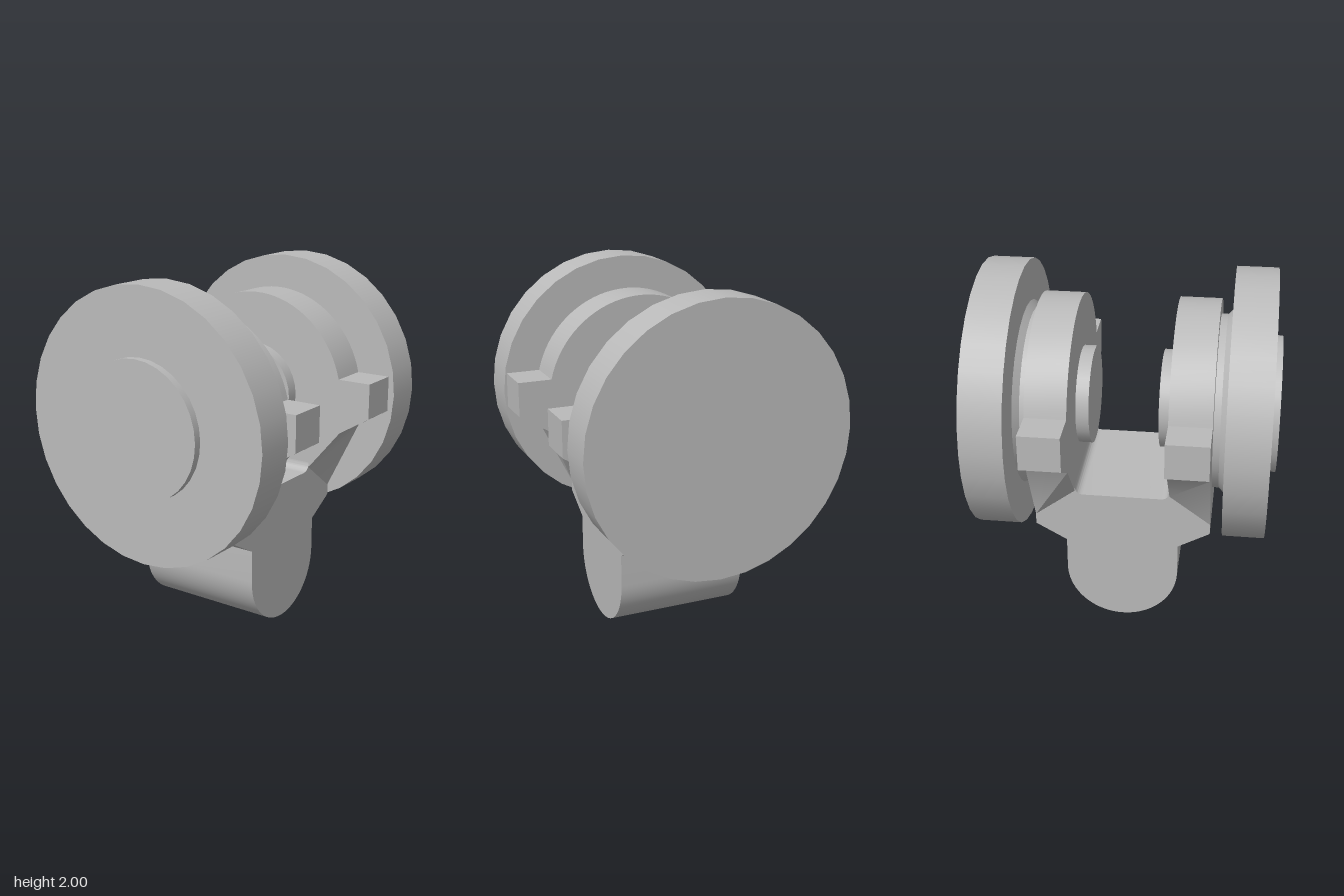
import * as THREE from 'three';
import { toCreasedNormals } from 'three/addons/utils/BufferGeometryUtils.js';

const AXLE_Y = 1.25;

export function createModel() {
  const model = new THREE.Group();
  model.name = 'rollerBracket';
  const grey = new THREE.MeshStandardMaterial({ color: 0xbababa });
  grey.name = 'plain grey';

  const add = (name, geometry) => {
    const mesh = new THREE.Mesh(geometry, grey);
    mesh.name = name;
    model.add(mesh);
    return mesh;
  };

  // Round part on the axle from z0 to z1, radius r0 at z0 and r1 at z1
  const disc = (name, z0, z1, r0, r1 = r0) => {
    const g = new THREE.CylinderGeometry(r1, r0, z1 - z0, 32);
    g.rotateX(Math.PI / 2);
    g.translate(0, AXLE_Y, (z0 + z1) / 2);
    return add(name, g);
  };

  // Yoke plate: round top, two side lugs, legs tapering into the foot
  const plate = (name, z0, z1, side) => {
    const r = 0.57, lugTop = 1.38;
    const a = Math.asin((lugTop - AXLE_Y) / r);
    const s = new THREE.Shape();
    s.moveTo(-0.37, 0.6);
    s.lineTo(0.37, 0.6);
    s.lineTo(0.37, 0.75);
    s.lineTo(0.57, 1.07);
    s.lineTo(0.75, 1.18);
    s.lineTo(0.75, lugTop);
    s.absarc(0, AXLE_Y, r, a, Math.PI - a, false);
    s.lineTo(-0.75, lugTop);
    s.lineTo(-0.75, 1.18);
    s.lineTo(-0.57, 1.07);
    s.lineTo(-0.37, 0.75);
    s.closePath();
    const g = new THREE.ExtrudeGeometry(s, { depth: z1 - z0, bevelEnabled: false, curveSegments: 18 });
    g.translate(0, 0, z0);
    // Leg ends sit lower on the outer face than on the inner face
    const p = g.attributes.position;
    const mid = (z0 + z1) / 2;
    for (let i = 0; i < p.count; i++) {
      if (Math.abs(p.getY(i) - 0.75) < 0.001) {
        p.setY(i, (p.getZ(i) - mid) * side > 0 ? 0.66 : 0.83);
      }
    }
    add(name, toCreasedNormals(g, 0.5));
  };

  // Foot: rounded bottom, flared shoulders, filleted saddle (shape x runs towards -z)
  const f = new THREE.Shape();
  f.moveTo(-0.298, 0.317);
  f.absarc(0.02, 0.317, 0.317, Math.PI, Math.PI * 2, false);
  f.lineTo(0.337, 0.5);
  f.lineTo(0.51, 0.6);
  f.lineTo(0.51, 0.66);
  f.lineTo(0.285, 0.83);
  f.lineTo(0.285, 0.86);
  f.quadraticCurveTo(0.28, 0.81, 0.235, 0.81);
  f.lineTo(-0.195, 0.81);
  f.quadraticCurveTo(-0.24, 0.81, -0.245, 0.86);
  f.lineTo(-0.245, 0.83);
  f.lineTo(-0.475, 0.66);
  f.lineTo(-0.475, 0.6);
  f.lineTo(-0.297, 0.5);
  f.closePath();
  const foot = new THREE.ExtrudeGeometry(f, { depth: 0.745, bevelEnabled: false, curveSegments: 18 });
  foot.translate(0, 0, -0.3725);
  foot.rotateY(Math.PI / 2);
  add('foot', toCreasedNormals(foot, 0.5));

  // Front side
  plate('frontPlate', 0.245, 0.475, 1);
  disc('frontInnerHub', 0.17, 0.25, 0.275);
  disc('frontNeck', 0.47, 0.512, 0.485);
  disc('frontNeckFlare', 0.512, 0.546, 0.485, 0.52);
  disc('frontWheel', 0.545, 0.775, 0.75);
  disc('frontCap', 0.77, 0.818, 0.38);

  // Back side
  plate('backPlate', -0.51, -0.285, -1);
  disc('backInnerHub', -0.29, -0.213, 0.275);
  disc('backNeck', -0.552, -0.505, 0.485);
  disc('backNeckFlare', -0.586, -0.552, 0.52, 0.485);
  disc('backWheel', -0.818, -0.585, 0.75);

  return model;
}
